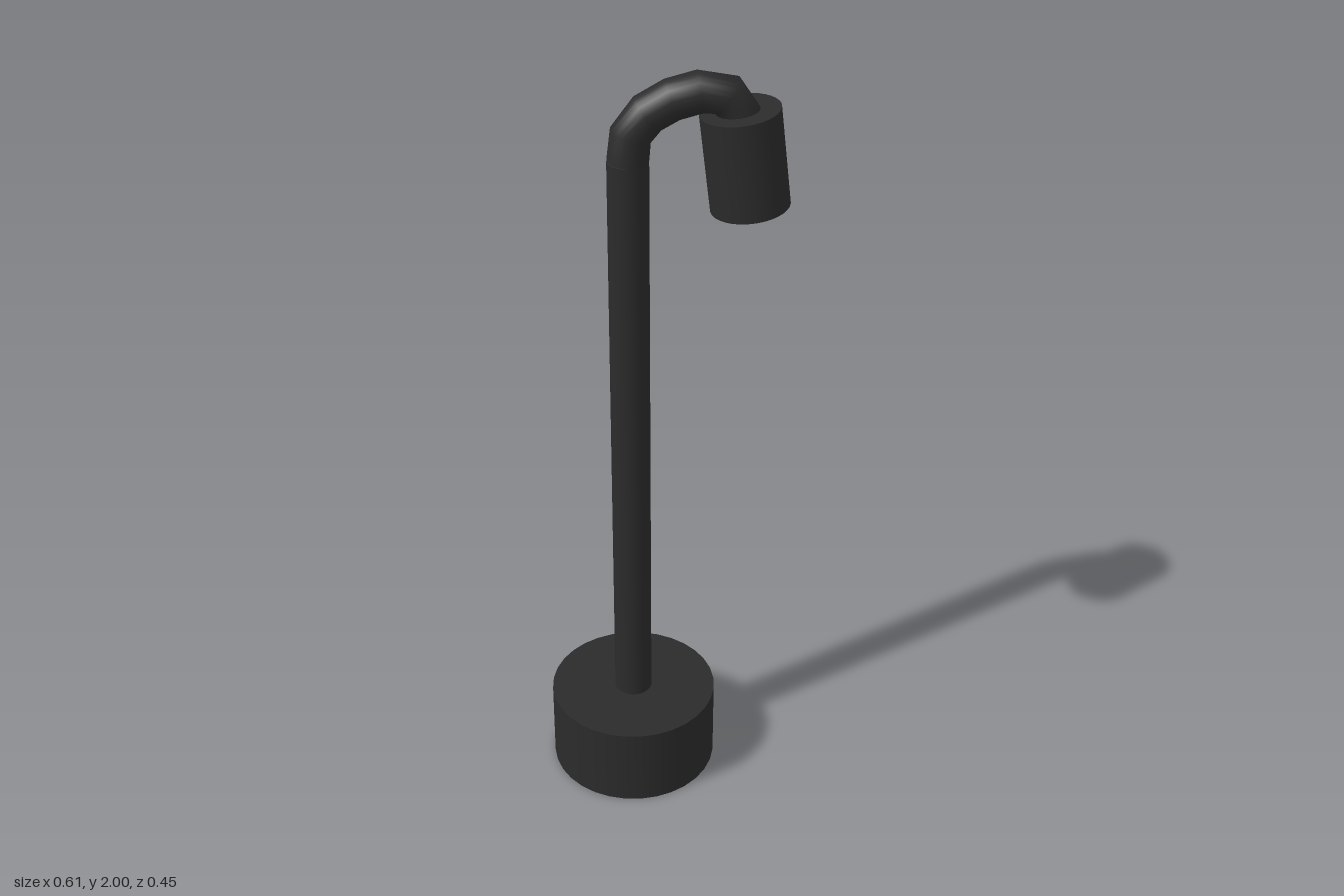
import * as THREE from 'three';

export function createModel() {
  const model = new THREE.Group();
  const black = new THREE.MeshStandardMaterial({ color: 0x2b2b2b });
  black.name = 'matte black';
  const blackInside = new THREE.MeshStandardMaterial({ color: 0x2b2b2b, side: THREE.DoubleSide });
  blackInside.name = 'matte black shell';
  const yellow = new THREE.MeshStandardMaterial({ color: 0xd8c030 });
  yellow.name = 'warm yellow';

  const add = (parent, name, geometry, material, x, y) => {
    const mesh = new THREE.Mesh(geometry, material);
    mesh.name = name;
    mesh.position.set(x, y, 0);
    parent.add(mesh);
    return mesh;
  };

  const poleX = -0.083, tubeR = 0.05, baseH = 0.225, poleTop = 1.79;

  // Weighted base and upright pole
  add(model, 'base', new THREE.CylinderGeometry(0.223, 0.223, baseH, 32), black, poleX, baseH / 2);
  add(model, 'pole', new THREE.CylinderGeometry(tubeR, tubeR, poleTop - baseH, 24), black,
    poleX, (poleTop + baseH) / 2);

  // Bent neck, with few segments along its length
  const neckPath = new THREE.CatmullRomCurve3([
    [poleX, poleTop], [-0.074, 1.86], [-0.025, 1.915], [0.07, 1.952], [0.135, 1.95], [0.172, 1.915], [0.18, 1.89],
  ].map(([x, y]) => new THREE.Vector3(x, y, 0)));
  add(model, 'neck', new THREE.TubeGeometry(neckPath, 6, tubeR, 24), black, 0, 0);

  // Tilted lamp head: closed on top, open below, with a recessed light
  const headR = 0.096, headH = 0.244, recess = 0.09;
  const head = new THREE.Group();
  head.name = 'lampHead';
  head.position.set(0.177, 1.906, 0);
  head.rotation.z = 0.12;
  model.add(head);
  add(head, 'headShell', new THREE.CylinderGeometry(headR, headR, headH, 32, 1, true), blackInside, 0, -headH / 2);
  add(head, 'headCap', new THREE.CircleGeometry(headR, 32), black, 0, 0).rotation.x = -Math.PI / 2;
  add(head, 'light', new THREE.CircleGeometry(headR - 0.002, 32), yellow, 0, recess - headH).rotation.x = Math.PI / 2;

  return model;
}
